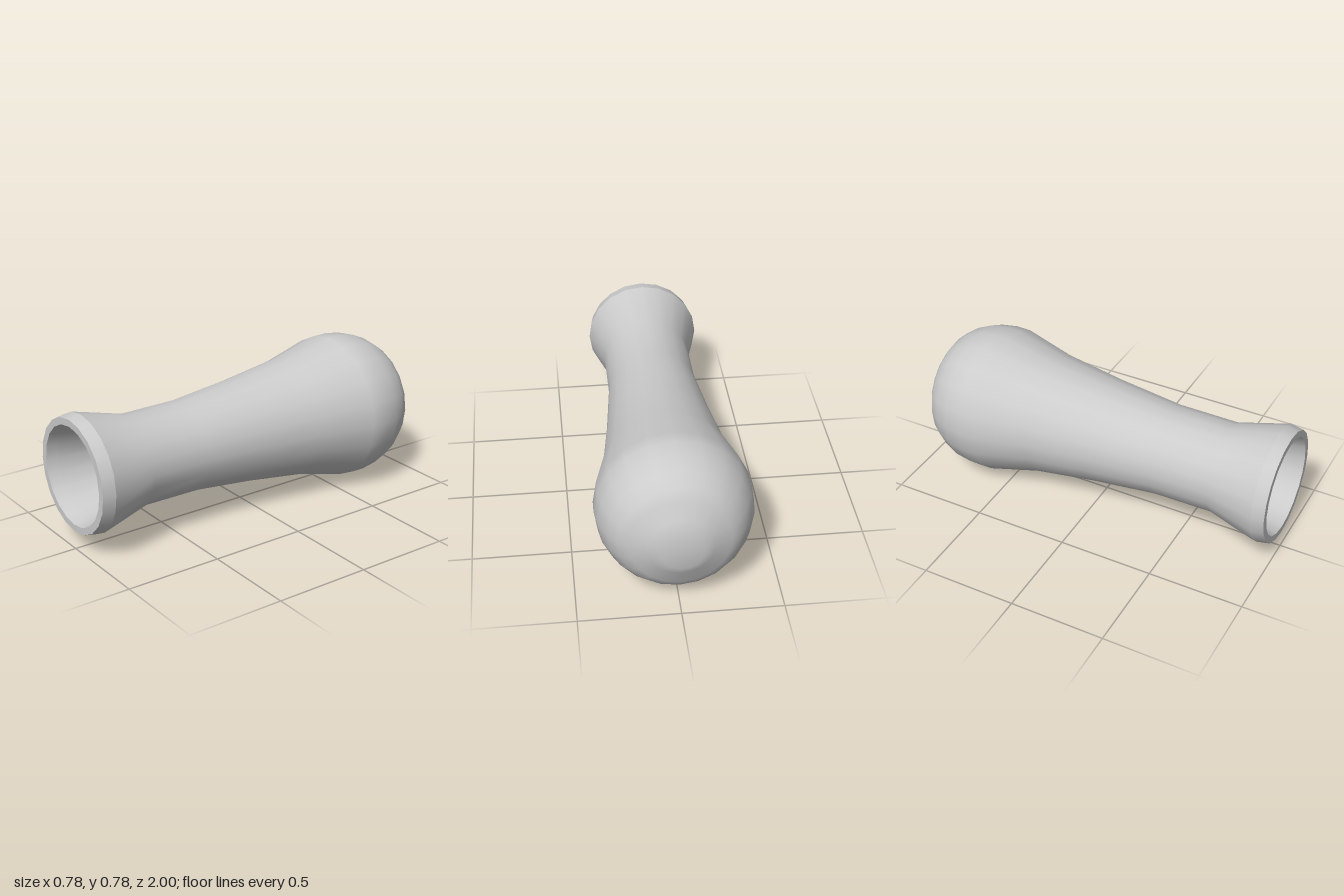
import * as THREE from 'three';

const SIDES = 20;
const CENTRE_Y = 0.39;

// Each profile is a list of [radius, z]; separate sections keep a crease between them.
const SECTIONS = {
  gripBody: [
    [0, -1], [0.105, -1], [0.16, -0.967], [0.245, -0.935], [0.295, -0.9], [0.34, -0.84],
    [0.375, -0.76], [0.389, -0.67], [0.388, -0.59], [0.32, -0.32], [0.275, 0],
    [0.238, 0.35], [0.236, 0.67], [0.306, 0.935],
  ],
  collarBevel: [[0.306, 0.935], [0.294, 1]],
  collarFace: [[0.294, 1], [0.258, 1]],
  socketChamfer: [[0.258, 1], [0.244, 0.94]],
  socketWall: [[0.244, 0.94], [0.191, 0.67], [0.191, 0.3]],
  socketFloor: [[0.191, 0.3], [0, 0.3]],
};

export function createModel() {
  const group = new THREE.Group();
  group.name = 'handle';
  const material = new THREE.MeshStandardMaterial({ color: 0xcccccc });

  for (const [name, profile] of Object.entries(SECTIONS)) {
    const points = profile.map(([r, z]) => new THREE.Vector2(r, z));
    const geometry = new THREE.LatheGeometry(points, SIDES);
    // Lay the turning axis along z
    geometry.rotateX(Math.PI / 2).translate(0, CENTRE_Y, 0);
    const mesh = new THREE.Mesh(geometry, material);
    mesh.name = name;
    group.add(mesh);
  }
  return group;
}
